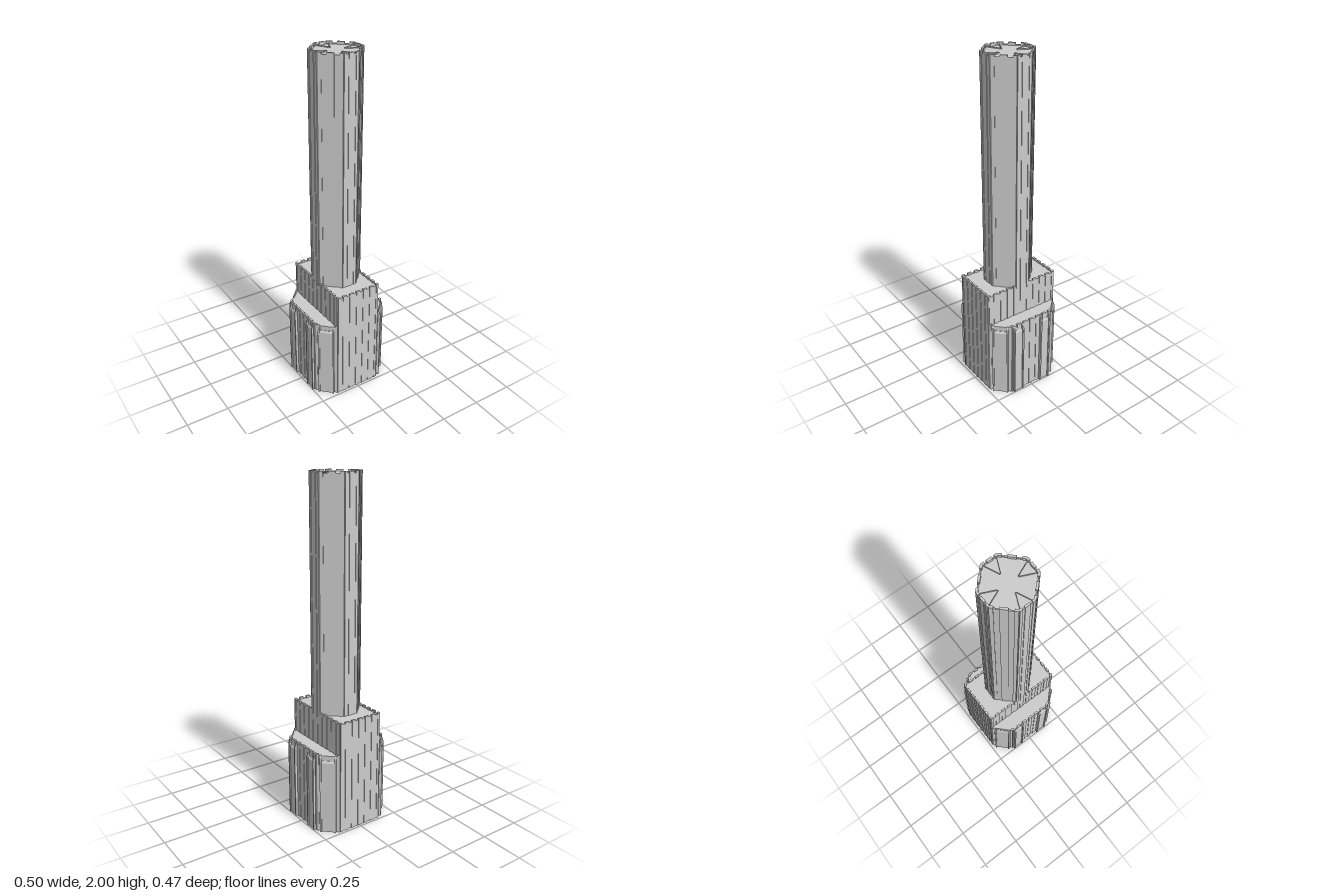
import * as THREE from 'three';

const mat = new THREE.MeshStandardMaterial({ color: 0xcccccc, flatShading: true, side: THREE.DoubleSide });
const CRENEL = 0.01; // drop between rib tops and wall tops

function add(parent, name, geo) {
  const m = new THREE.Mesh(geo, mat);
  m.name = name;
  parent.add(m);
  return m;
}

// Group lying along the line a-b (x, z pairs): local x along the wall, local +z outward
function lineFrame(parent, name, a, b) {
  const g = new THREE.Group();
  g.name = name;
  const [cx, cz] = [(a[0] + b[0]) / 2, (a[1] + b[1]) / 2];
  let [dx, dz] = [b[0] - a[0], b[1] - a[1]];
  if (-dz * cx + dx * cz < 0) { dx = -dx; dz = -dz; }
  g.position.set(cx, 0, cz);
  g.rotation.y = Math.atan2(-dz, dx);
  parent.add(g);
  return { g, len: Math.hypot(dx, dz) };
}

// Thin wall with taller, thicker vertical ribs that form the crenellations
function ribbedWall(parent, name, a, b, y0, y1, ribs, ribWidth = 0.026) {
  const { g, len } = lineFrame(parent, name, a, b);
  const h = y1 - y0;
  add(g, 'wallPanel', new THREE.BoxGeometry(len, h - CRENEL, 0.006)).position.y = y0 + (h - CRENEL) / 2;
  for (let i = 0; i < ribs; i++) {
    const end = i === 0 || i === ribs - 1;
    const w = end ? ribWidth / 2 : ribWidth;
    let x = -len / 2 + (len * i) / (ribs - 1);
    if (i === 0) x += w / 2;
    if (i === ribs - 1) x -= w / 2;
    add(g, 'wallRib', new THREE.BoxGeometry(w, h, 0.012)).position.set(x, y0 + h / 2, 0);
  }
  return g;
}

// Vertical fin or panel with a sloped top, extruded sideways
function slopedPier(parent, name, x, width, depth, top, slope) {
  const s = new THREE.Shape([
    new THREE.Vector2(0, 0), new THREE.Vector2(depth, 0),
    new THREE.Vector2(depth, top - slope), new THREE.Vector2(0.005, top), new THREE.Vector2(0, top),
  ]);
  const geo = new THREE.ExtrudeGeometry(s, { depth: width, bevelEnabled: false });
  geo.translate(0, 0, -width / 2);
  geo.rotateY(-Math.PI / 2);
  add(parent, name, geo).position.x = x;
}

// Raised bay: a shallow panel framed by two fins
function bay(wall, x, half) {
  slopedPier(wall, 'bayPanel', x, half * 2, 0.012, 0.445, 0.012);
  for (const s of [-1, 1]) slopedPier(wall, 'bayFin', x + s * half, 0.009, 0.019, 0.48, 0.035);
}

// Flat slab from x, z points with its top at y
function slab(parent, name, pts, y) {
  const s = new THREE.Shape(pts.map(([x, z]) => new THREE.Vector2(x, -z)));
  const geo = new THREE.ExtrudeGeometry(s, { depth: 0.006, bevelEnabled: false });
  geo.rotateX(-Math.PI / 2);
  add(parent, name, geo).position.y = y - 0.006;
}

export function createModel() {
  const root = new THREE.Group();
  root.name = 'tower';
  const base = new THREE.Group(), block = new THREE.Group(), shaft = new THREE.Group();
  base.name = 'base'; block.name = 'block'; shaft.name = 'shaft';
  root.add(base, block, shaft);

  const R = 0.231, C = 0.137, SHOULDER = 0.485, BLOCK = 0.675, TOP = 2;

  // Central block: front and back run to the ground, sides rise above the shoulders
  for (const s of [-1, 1]) {
    ribbedWall(block, 'blockEndWall', [-C, s * R], [C, s * R], 0, BLOCK, 7);
    ribbedWall(block, 'blockSideWall', [s * 0.135, -R], [s * 0.135, R], 0.465, BLOCK, 11);
  }
  slab(block, 'blockRoof', [[-0.135, -R], [0.135, -R], [0.135, R], [-0.135, R]], BLOCK - 0.013);

  // Lower octagonal base, open underneath
  for (const s of [-1, 1]) {
    const side = ribbedWall(base, 'baseSideWall', [s * R, -C], [s * R, C], 0, SHOULDER, 7);
    for (const t of [-1, 1]) {
      bay(side, t * 0.096, 0.03);
      const corner = ribbedWall(base, 'baseCornerWall', [s * C, t * R], [s * R, t * C], 0, SHOULDER, 2);
      bay(corner, 0, 0.042);
    }
    slab(base, 'shoulderRoof', [[s * 0.133, -R], [s * C, -R], [s * R, -C], [s * R, C], [s * C, R], [s * 0.133, R]], SHOULDER - 0.012);
  }

  // Tall octagonal shaft
  const T = 0.1365, K = 0.043;
  const ring = [[K, T], [T, K], [T, -K], [K, -T], [-K, -T], [-T, -K], [-T, K], [-K, T]];
  ring.forEach((p, i) => {
    const diagonal = i % 2 === 0;
    ribbedWall(shaft, 'shaftWall', p, ring[(i + 1) % 8], BLOCK - 0.015, TOP, 3, diagonal ? 0.04 : 0.03);
  });
  slab(shaft, 'shaftRoof', ring, TOP - 0.016);

  // Four V-shaped pairs of thin ridges on the shaft roof
  for (let q = 0; q < 4; q++) {
    const v = new THREE.Group();
    v.name = 'roofRidges';
    v.rotation.y = (q * Math.PI) / 2;
    shaft.add(v);
    for (const s of [-1, 1]) {
      const ridge = add(v, 'roofRidge', new THREE.BoxGeometry(0.003, 0.007, 0.084));
      ridge.position.set(s * 0.019, TOP - 0.0135, 0.094);
      ridge.rotation.y = s * Math.atan2(0.034, 0.077);
    }
  }
  return root;
}
